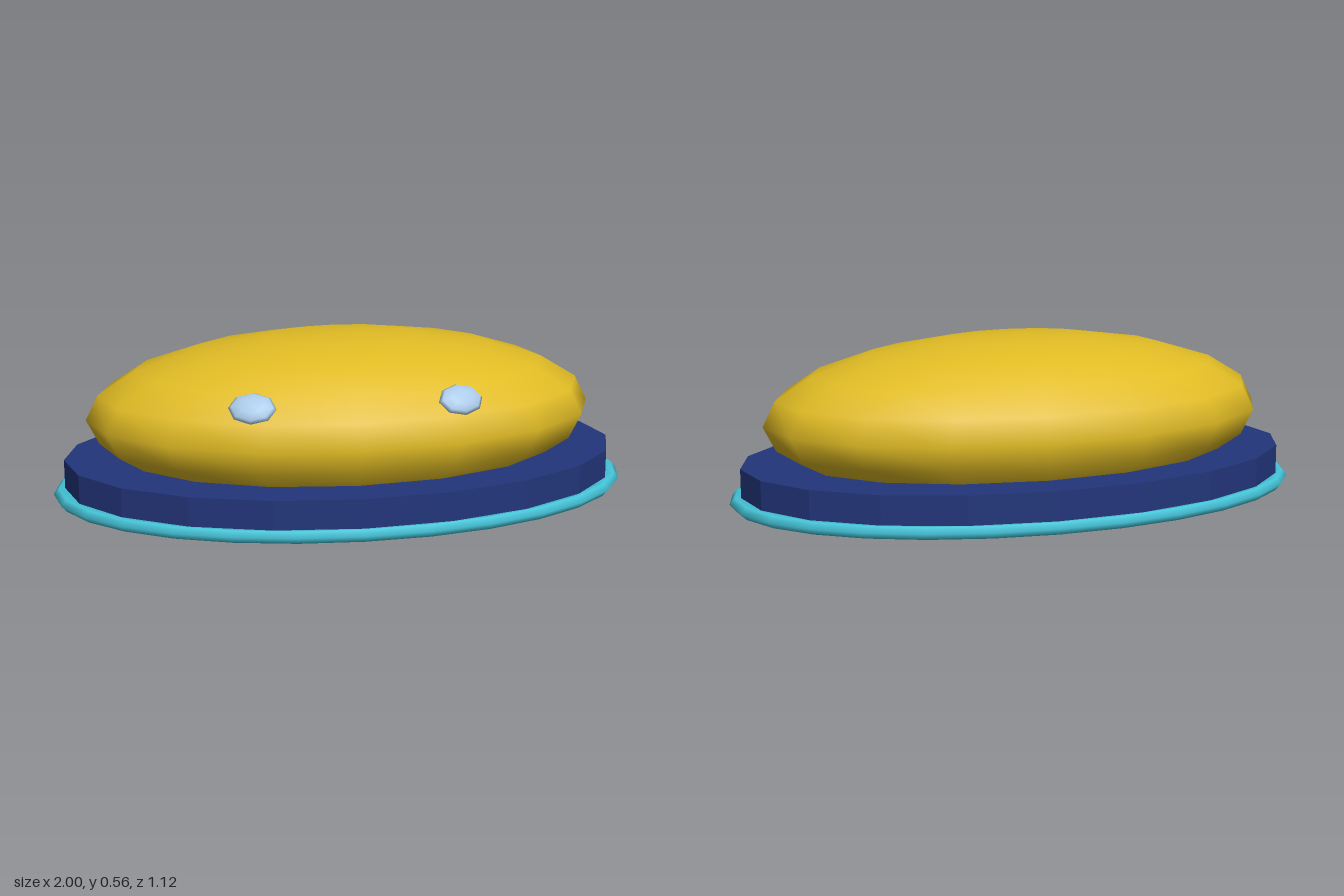
import * as THREE from 'three';

const gold = new THREE.MeshStandardMaterial({ name: 'gold', color: 0xe0bb24 });
const navy = new THREE.MeshStandardMaterial({ name: 'navy', color: 0x22357a, flatShading: true });
const cyan = new THREE.MeshStandardMaterial({ name: 'cyan', color: 0x45c4d8 });
const paleBlue = new THREE.MeshStandardMaterial({ name: 'pale blue', color: 0xa8c8e6 });

export function createModel() {
  const model = new THREE.Group();
  model.name = 'domedDisc';

  const add = (name, geometry, material) => {
    const mesh = new THREE.Mesh(geometry, material);
    mesh.name = name;
    model.add(mesh);
    return mesh;
  };

  // Oval body, sunk through the base so its underside just shows below
  const centreY = 0.283;
  const radii = new THREE.Vector3(0.88, 0.28, 0.48);
  add('body', new THREE.SphereGeometry(1, 16, 10).scale(radii.x, radii.y, radii.z), gold)
    .position.y = centreY;

  // Oval base plate
  add('base', new THREE.CylinderGeometry(1, 1, 0.119, 20).scale(0.96, 1, 0.54), navy)
    .position.y = 0.0835;

  // Rim around the foot of the base
  const rim = new THREE.TorusGeometry(0.964, 0.036, 6, 28).rotateX(Math.PI / 2).scale(1, 0.667, 0.56);
  add('rim', rim, cyan).position.y = 0.021;

  // Flattened eyes lying on the body surface
  for (const side of [1, -1]) {
    const eyeGeometry = new THREE.SphereGeometry(1, 8, 6).rotateX(Math.PI / 2).scale(0.08, 0.058, 0.025);
    const eye = add(side > 0 ? 'leftEye' : 'rightEye', eyeGeometry, paleBlue);
    eye.position.set(side * 0.345, 0.413, 0.372);
    const normal = new THREE.Vector3(
      eye.position.x / radii.x ** 2,
      (eye.position.y - centreY) / radii.y ** 2,
      eye.position.z / radii.z ** 2
    ).normalize();
    eye.lookAt(normal.add(eye.position));
  }

  return model;
}
